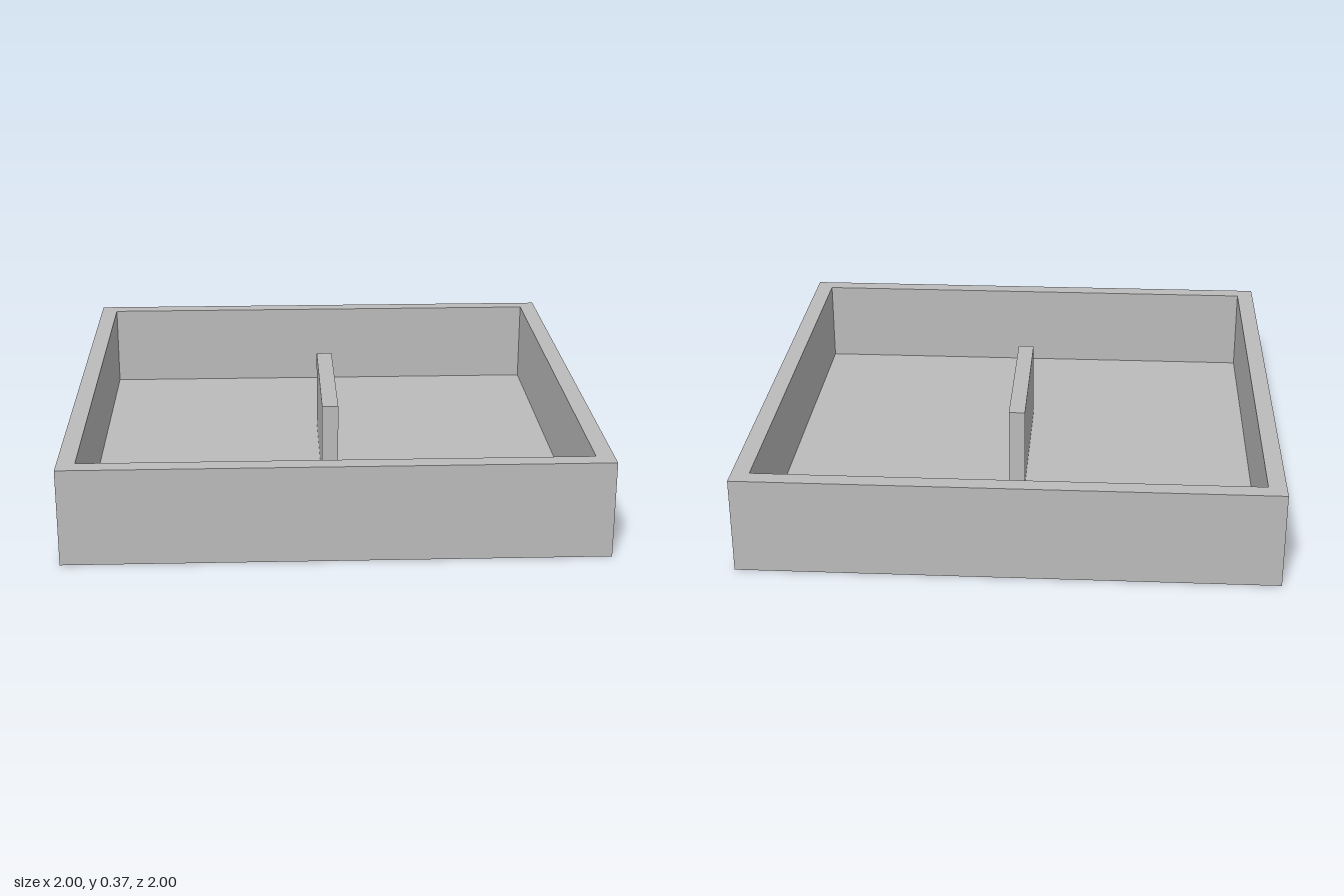
import * as THREE from 'three';

export function createModel() {
  const model = new THREE.Group();
  model.name = 'tray';
  const grey = new THREE.MeshStandardMaterial({ color: 0xbbbbbb });
  grey.name = 'grey';

  const unit = 1 / 15; // wall thickness
  const floorTop = unit / 2;
  const rim = 5.5 * unit;
  const inner = 1 - unit;

  const add = (name, geometry) => {
    const mesh = new THREE.Mesh(geometry, grey);
    mesh.name = name;
    model.add(mesh);
  };
  const square = (Type, h) => new Type([[-h, -h], [h, -h], [h, h], [-h, h]].map(([x, y]) => new THREE.Vector2(x, y)));

  // Square outer frame
  const outline = square(THREE.Shape, 1);
  outline.holes.push(square(THREE.Path, inner));
  const walls = new THREE.ExtrudeGeometry(outline, { depth: rim, bevelEnabled: false });
  walls.rotateX(-Math.PI / 2);
  add('walls', walls);

  // Floor slab fitted inside the frame
  add('floor', new THREE.BoxGeometry(2 * inner, floorTop, 2 * inner).translate(0, floorTop / 2, 0));

  // Central partition, slightly lower than the rim
  const top = 0.35;
  add('divider', new THREE.BoxGeometry(unit * 0.95, top - floorTop, 10 * unit).translate(0, (top + floorTop) / 2, 0));

  return model;
}
